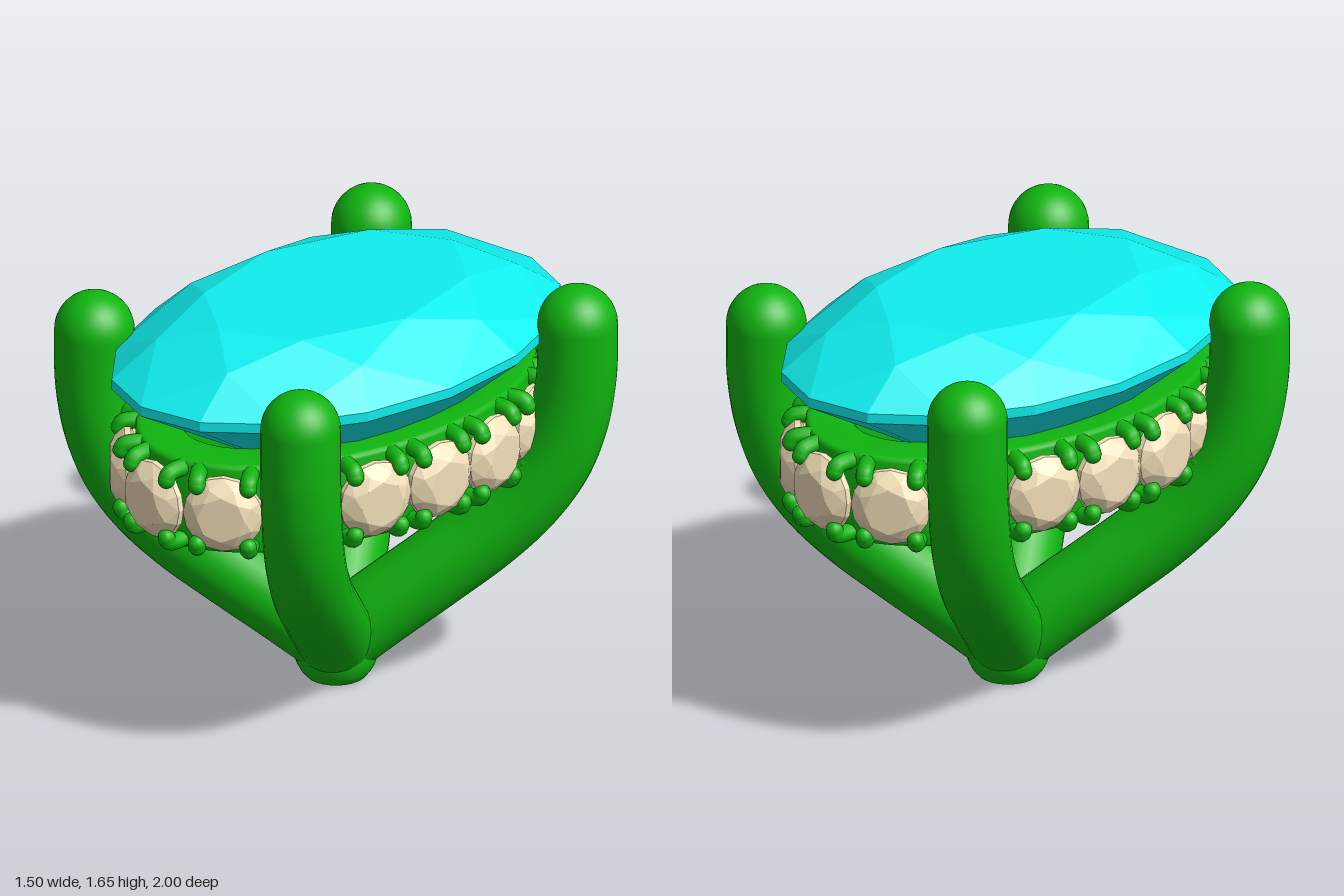
import * as THREE from 'three';
import { toCreasedNormals } from 'three/addons/utils/BufferGeometryUtils.js';

const metal = new THREE.MeshStandardMaterial({ color: 0x10b510 });
const blue = new THREE.MeshStandardMaterial({ color: 0x10eeee, flatShading: true });
const cream = new THREE.MeshStandardMaterial({ color: 0xf2dfb8, flatShading: true });

function add(parent, name, geometry, material) {
  const mesh = new THREE.Mesh(geometry, material);
  mesh.name = name;
  parent.add(mesh);
  return mesh;
}

// Brilliant-cut stone: table up, culet down, girdle between yLow and yHigh
function gemGeometry(rx, rz, yTable, yHigh, yLow, yCulet) {
  const pos = [];
  const point = (ratio, i, y) => {
    const a = (i * Math.PI) / 8;
    return [rx * ratio * Math.cos(a), y, rz * ratio * Math.sin(a)];
  };
  const half = (inner, yInner, mid, yGirdle, flip) => {
    const tri = (a, b, c) => pos.push(...a, ...(flip ? c : b), ...(flip ? b : c));
    const yMid = yInner + ((yGirdle - yInner) * (mid * Math.cos(Math.PI / 8) - inner)) / (1 - inner);
    for (let k = 0; k < 16; k += 2) {
      const T = point(inner, k, yInner), T2 = point(inner, k + 2, yInner);
      const M = point(mid, k + 1, yMid), M0 = point(mid, k - 1, yMid);
      const [G, G1, G2] = [0, 1, 2].map((n) => point(1, k + n, yGirdle));
      if (inner > 0) {
        tri([0, yInner, 0], T2, T); // table
        tri(T, T2, M); // star
      }
      tri(T, M, G); // kite
      tri(T, G, M0);
      tri(M, G1, G); // girdle facets
      tri(M, G2, G1);
    }
  };
  half(0.6, yTable, 0.8, yHigh, false);
  half(0, yCulet, 0.42, yLow, true);
  for (let i = 0; i < 16; i++) {
    const a = point(1, i, yHigh), b = point(1, i + 1, yHigh);
    const c = point(1, i, yLow), d = point(1, i + 1, yLow);
    pos.push(...a, ...b, ...c, ...b, ...d, ...c);
  }
  const g = new THREE.BufferGeometry();
  g.setAttribute('position', new THREE.Float32BufferAttribute(pos, 3));
  g.computeVertexNormals();
  return g;
}

export function createModel() {
  const model = new THREE.Group();
  model.name = 'gemSetting';

  add(model, 'centreStone', gemGeometry(0.665, 1, 1.65, 1.45, 1.41, 0.835), blue);

  // Four prongs sweeping up from the base: [fraction of full spread, height]
  const profile = [[0, 0.15], [0.2, 0.295], [0.42, 0.45], [0.63, 0.605], [0.79, 0.755],
    [0.9, 0.91], [0.965, 1.08], [0.995, 1.25], [1, 1.36], [1, 1.475]];
  for (const sx of [1, -1]) for (const sz of [1, -1]) {
    const prong = new THREE.Group();
    prong.name = `${sz > 0 ? 'front' : 'back'}${sx > 0 ? 'Left' : 'Right'}Prong`;
    const path = new THREE.CatmullRomCurve3(
      profile.map(([t, y]) => new THREE.Vector3(sx * 0.595 * t, y, sz * 0.71 * t)));
    add(prong, 'prongStem', new THREE.TubeGeometry(path, 48, 0.155, 28), metal);
    add(prong, 'prongTip', new THREE.SphereGeometry(0.155, 28, 18), metal)
      .position.set(sx * 0.595, 1.475, sz * 0.71);
    model.add(prong);
  }

  // Base where the prongs meet, flattened underneath
  const base = new THREE.SphereGeometry(0.165, 32, 32);
  base.translate(0, 0.12, 0);
  const bp = base.attributes.position;
  for (let i = 0; i < bp.count; i++) bp.setY(i, Math.max(0, bp.getY(i)));
  add(model, 'base', toCreasedNormals(base, 0.6), metal);

  // Oval gallery band
  const oval = new THREE.Shape().absellipse(0, 0, 0.54, 0.88, 0, Math.PI * 2);
  oval.holes.push(new THREE.Path().absellipse(0, 0, 0.4, 0.73, 0, Math.PI * 2));
  const band = new THREE.ExtrudeGeometry(oval, {
    depth: 0.33, curveSegments: 72, bevelThickness: 0.02, bevelSize: 0.02, bevelSegments: 3 });
  band.rotateX(-Math.PI / 2);
  band.translate(0, 0.875, 0);
  add(model, 'galleryBand', toCreasedNormals(band, 0.6), metal);

  // Sixteen small stones around the band, each held by four claws
  const smallGem = gemGeometry(0.155, 0.155, 0.068, 0.012, -0.012, -0.1);
  smallGem.rotateX(Math.PI / 2);
  const clawPath = new THREE.CatmullRomCurve3([[0.15, -0.08], [0.15, -0.01], [0.142, 0.018], [0.122, 0.028]]
    .map(([y, z]) => new THREE.Vector3(0, y, z)));
  const claw = new THREE.TubeGeometry(clawPath, 12, 0.034, 12);
  const clawTip = new THREE.SphereGeometry(0.034, 12, 8);
  const ring = new THREE.EllipseCurve(0, 0, 0.592, 0.93);
  ring.arcLengthDivisions = 800;
  for (let i = 0; i < 16; i++) {
    const p = ring.getPointAt(i / 16), t = ring.getTangentAt(i / 16);
    const setting = new THREE.Group();
    setting.name = 'sideStoneSetting';
    setting.position.set(p.x, 1.04, p.y);
    setting.rotation.y = Math.atan2(t.y, -t.x);
    add(setting, 'sideStone', smallGem, cream);
    for (const x of [-0.1, 0.1]) for (const turn of [0, Math.PI]) {
      // The lower claws are the upper ones mirrored by a half turn about the stone axis
      const holder = new THREE.Group();
      holder.name = 'claw';
      holder.position.x = x;
      holder.rotation.z = turn;
      add(holder, 'clawFinger', claw, metal);
      add(holder, 'clawTip', clawTip, metal).position.set(0, 0.122, 0.028);
      setting.add(holder);
    }
    model.add(setting);
  }
  return model;
}
